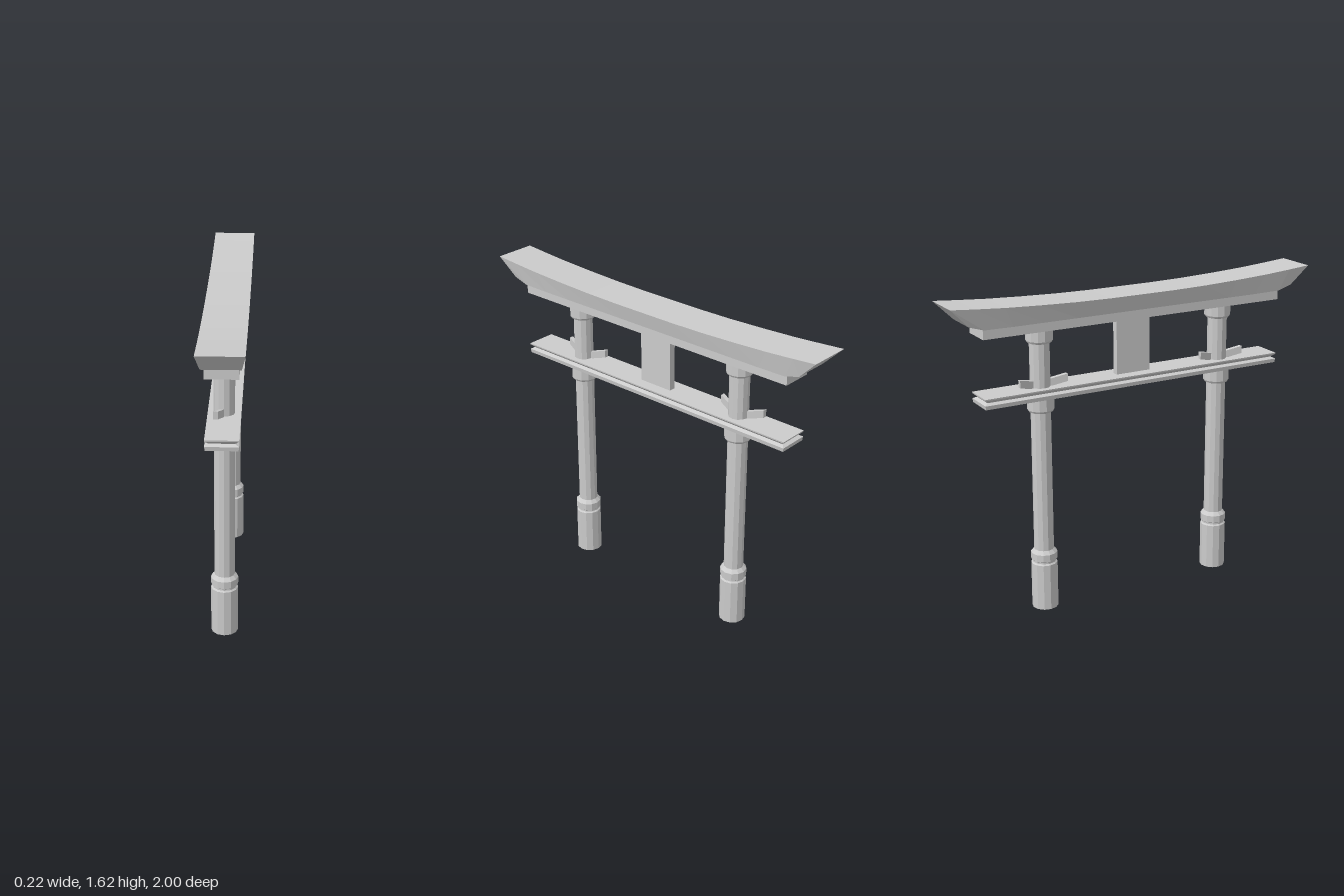
import * as THREE from 'three';

const material = new THREE.MeshStandardMaterial({ color: 0xcccccc, flatShading: true, roughness: 0.8 });

function add(parent, name, geometry, x = 0, y = 0, z = 0) {
  const mesh = new THREE.Mesh(geometry, material);
  mesh.name = name;
  mesh.position.set(x, y, z);
  parent.add(mesh);
  return mesh;
}

// Skins four-cornered rings and caps both ends
function loft(rings) {
  const index = [];
  for (let r = 0; r < rings.length - 1; r++) {
    for (let i = 0; i < 4; i++) {
      const a = r * 4 + i, b = r * 4 + (i + 1) % 4;
      index.push(a, b, b + 4, a, b + 4, a + 4);
    }
  }
  const e = (rings.length - 1) * 4;
  index.push(0, 2, 1, 0, 3, 2, e, e + 1, e + 2, e, e + 2, e + 3);
  const geometry = new THREE.BufferGeometry();
  geometry.setAttribute('position', new THREE.Float32BufferAttribute(rings.flat(2), 3));
  geometry.setIndex(index);
  const flat = geometry.toNonIndexed();
  flat.computeVertexNormals();
  return flat;
}

// Upswept top beam: [top z, top y, bottom z, bottom y] for one half
function roofGeometry() {
  const half = [
    [0.18, 1.585, 0.17, 1.505],
    [0.36, 1.588, 0.34, 1.505],
    [0.55, 1.595, 0.52, 1.505],
    [0.73, 1.604, 0.68, 1.505],
    [0.88, 1.615, 0.83, 1.507],
    [1.0, 1.625, 0.905, 1.53],
  ];
  const mirrored = half.map(([tz, ty, bz, by]) => [-tz, ty, -bz, by]).reverse();
  return loft([...mirrored, ...half].map(([tz, ty, bz, by]) => [
    [0.09, by, bz], [0.108, ty, tz], [-0.108, ty, tz], [-0.09, by, bz],
  ]));
}

// Tie beam with a groove running round its edge: [height, inset]
function tieBeamGeometry() {
  const levels = [[1.118, 0.003], [1.138, 0], [1.147, 0.018], [1.163, 0.001], [1.17, 0]];
  return loft(levels.map(([y, inset]) => {
    const x = 0.078 - inset, z = 0.833 - inset;
    return [[x, y, z], [x, y, -z], [-x, y, -z], [-x, y, z]];
  }));
}

// Turned post with footing, ring and two collars: [radius, height]
function postGeometry() {
  const profile = [
    [0, 0], [0.067, 0], [0.067, 0.243], [0.06, 0.25], [0.06, 0.258], [0.067, 0.263],
    [0.067, 0.3], [0.05, 0.318], [0.05, 1.042], [0.061, 1.046], [0.067, 1.056],
    [0.067, 1.13], [0.05, 1.13], [0.05, 1.388], [0.061, 1.392], [0.067, 1.402],
    [0.067, 1.47], [0, 1.47],
  ];
  return new THREE.LatheGeometry(profile.map(([r, y]) => new THREE.Vector2(r, y)), 12);
}

// Sheared block rising outward from the post axis
function wedgeGeometry(side) {
  const length = 0.127;
  const geometry = new THREE.BoxGeometry(0.022, 0.038, length);
  const p = geometry.attributes.position;
  for (let i = 0; i < p.count; i++) {
    const t = p.getZ(i) / length + 0.5;
    const u = side > 0 ? t : 1 - t;
    p.setXYZ(i, p.getX(i) + 0.006 - 0.042 * u, p.getY(i) + 1.174 + 0.033 * u, p.getZ(i) + side * length / 2);
  }
  geometry.computeVertexNormals();
  return geometry;
}

export function createModel() {
  const gate = new THREE.Group();
  gate.name = 'gate';

  add(gate, 'topBeam', roofGeometry());
  add(gate, 'lintel', new THREE.BoxGeometry(0.155, 0.05, 1.664), 0, 1.483, 0);
  add(gate, 'tieBeam', tieBeamGeometry());
  add(gate, 'centrePanel', new THREE.BoxGeometry(0.035, 0.3, 0.188), 0, 1.315, 0);

  // Posts with their pairs of wedges
  for (const end of [1, -1]) {
    const support = new THREE.Group();
    support.name = end > 0 ? 'frontSupport' : 'backSupport';
    support.position.z = end * 0.51;
    add(support, 'post', postGeometry());
    for (const side of [1, -1]) add(support, 'wedge', wedgeGeometry(side));
    gate.add(support);
  }
  return gate;
}
